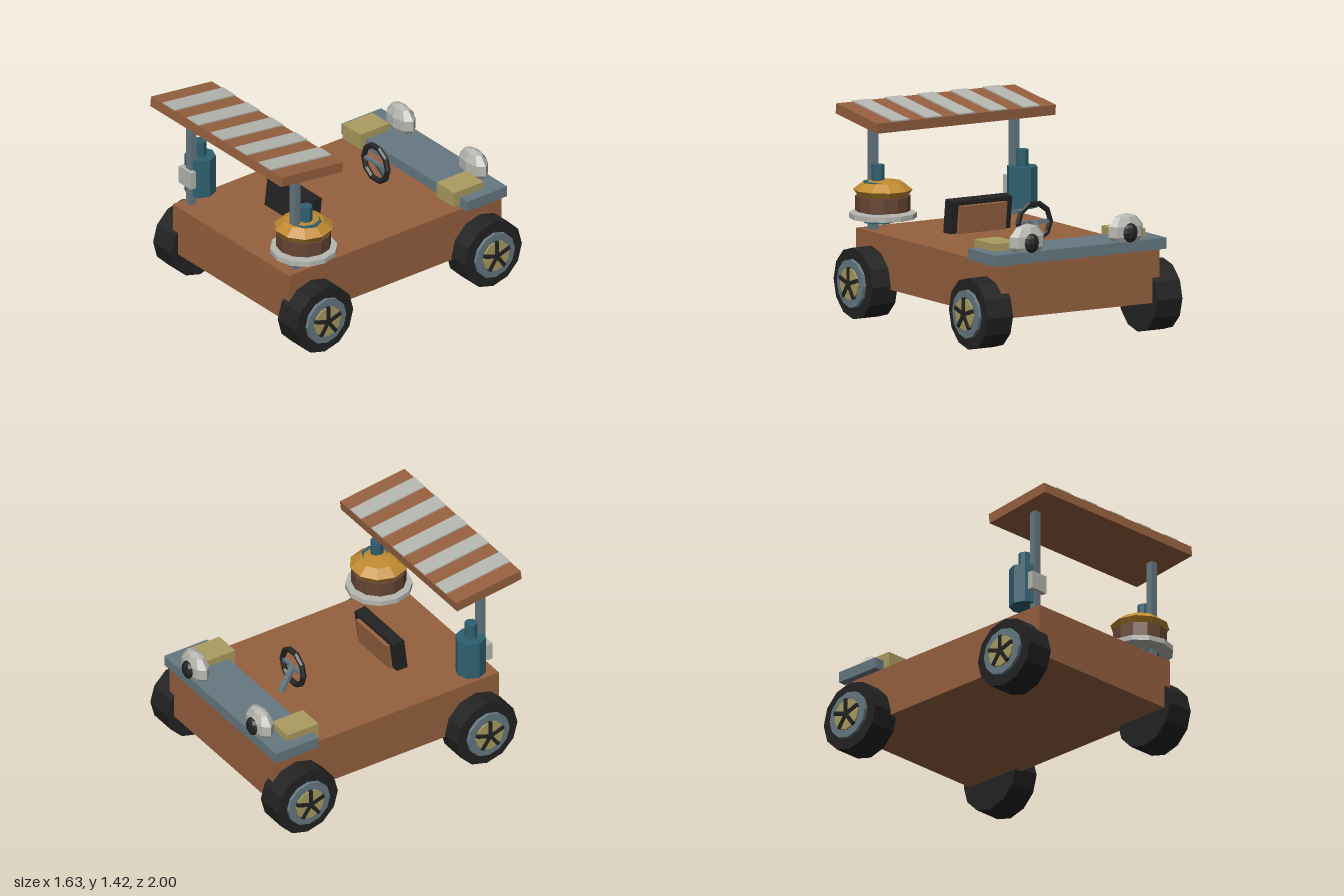
import * as THREE from 'three';

const mat = (name, color) => {
  const m = new THREE.MeshStandardMaterial({ color });
  m.name = name;
  m.flatShading = true;
  return m;
};

export function createModel() {
  const brown = mat('bodyBrown', 0x96613f);
  const steel = mat('steelBlue', 0x667982);
  const sand = mat('sand', 0xaa9c60);
  const pale = mat('paleGrey', 0xb6b7b0);
  const black = mat('black', 0x232323);
  const teal = mat('teal', 0x2f6070);
  const gold = mat('bunGold', 0xc08a30);
  const dark = mat('pattyBrown', 0x664533);

  const model = new THREE.Group();
  model.name = 'buggy';

  const add = (parent, name, geometry, material, x = 0, y = 0, z = 0) => {
    const m = new THREE.Mesh(geometry, material);
    m.name = name;
    m.position.set(x, y, z);
    parent.add(m);
    return m;
  };
  const group = (name, x = 0, y = 0, z = 0) => {
    const g = new THREE.Group();
    g.name = name;
    g.position.set(x, y, z);
    model.add(g);
    return g;
  };
  const box = (w, h, d) => new THREE.BoxGeometry(w, h, d);
  const cyl = (r, h, n) => new THREE.CylinderGeometry(r, r, h, n);

  // Body and nose shelf
  add(model, 'body', box(1.25, 0.36, 1.81), brown, 0, 0.4, -0.035);
  add(model, 'noseShelf', box(1.355, 0.075, 0.34), steel, 0, 0.6175, -0.778);

  // Wheels, with the outer side along local +y before turning
  const wheel = (name, side, z) => {
    const g = group(name, side * 0.67, 0.2425, z);
    const disc = (part, r, x0, x1, material) => {
      const m = add(g, part, cyl(r, x1 - x0, 12), material, side * ((x0 + x1) / 2 - 0.67));
      m.rotation.z = Math.PI / 2;
    };
    disc('tyre', 0.2425, 0.57, 0.77, black);
    disc('rim', 0.165, 0.75, 0.794, steel);
    disc('hub', 0.11, 0.78, 0.805, sand);
    for (let i = 0; i < 5; i++) {
      const spoke = box(0.03, 0.112, 0.026);
      spoke.translate(0, 0.056, 0);
      add(g, 'spoke', spoke, black, side * 0.13).rotation.x = (i * Math.PI * 2) / 5;
    }
  };

  for (const side of [-1, 1]) {
    const label = side > 0 ? 'left' : 'right';
    wheel(label + 'WheelA', side, 0.68);
    wheel(label + 'WheelB', side, -0.757);

    // Blocks and eye-like lamps on the shelf
    add(model, label + 'Block', box(0.19, 0.11, 0.25), sand, side * 0.505, 0.65, -0.683);
    const lamp = add(model, label + 'Lamp', new THREE.SphereGeometry(0.12, 8, 5), pale, side * 0.39, 0.72, -0.888);
    lamp.scale.set(1.19, 1, 0.6);
    const pupil = add(model, label + 'Pupil', new THREE.SphereGeometry(0.06, 8, 6), black, side * 0.39, 0.714, -0.95);
    pupil.scale.set(0.95, 1.1, 0.58);

    // Roof post and bottle
    add(model, label + 'Post', box(0.052, 0.75, 0.05), steel, side * 0.558, 0.95, 0.765);
    add(model, label + 'Bottle', cyl(0.105, 0.277, 8), teal, side * 0.57, 0.7785, 0.68);
    add(model, label + 'BottleNeck', cyl(0.044, 0.12, 8), teal, side * 0.57, 0.97, 0.682);
  }
  add(model, 'bottleLabel', box(0.134, 0.125, 0.04), pale, -0.567, 0.785, 0.792);

  // Burger on a plate
  const burger = group('burger', 0.537, 0, 0.675);
  add(burger, 'plate', cyl(0.227, 0.035, 12), pale, 0, 0.6875, 0);
  add(burger, 'patty', cyl(0.186, 0.1, 12), dark, 0, 0.77, 0);
  const bunProfile = [[0, 0.815], [0.165, 0.815], [0.2, 0.862], [0.135, 0.912], [0, 0.935]]
    .map(([r, y]) => new THREE.Vector2(r, y));
  add(burger, 'bun', new THREE.LatheGeometry(bunProfile, 10), gold).rotation.y = Math.PI / 2;

  // Seat back with a cushion panel
  const seat = group('seat', 0, 0.57, 0.353);
  seat.rotation.x = -0.12;
  add(seat, 'seatBack', box(0.476, 0.25, 0.085), black, 0, 0.112, 0);
  add(seat, 'seatCushion', box(0.37, 0.2, 0.03), brown, 0, 0.108, -0.054);

  // Steering wheel, crossbar and column
  const steering = group('steering', 0, 0.738, -0.365);
  add(steering, 'steeringRing', new THREE.TorusGeometry(0.128, 0.02, 6, 10), black);
  add(steering, 'crossbar', box(0.24, 0.025, 0.02), steel);
  const column = add(steering, 'column', box(0.04, 0.21, 0.025), steel, 0, -0.08, -0.05);
  column.rotation.x = 0.52;

  // Tilted roof with stripes
  const roof = group('roof', 0, 1.345, 0.737);
  roof.rotation.x = -0.124;
  add(roof, 'roofSlab', box(1.41, 0.07, 0.52), brown);
  for (let i = -2; i <= 2; i++) {
    add(roof, 'roofStripe', box(0.13, 0.009, 0.518), pale, i * 0.258, 0.0395, 0);
  }
  return model;
}
